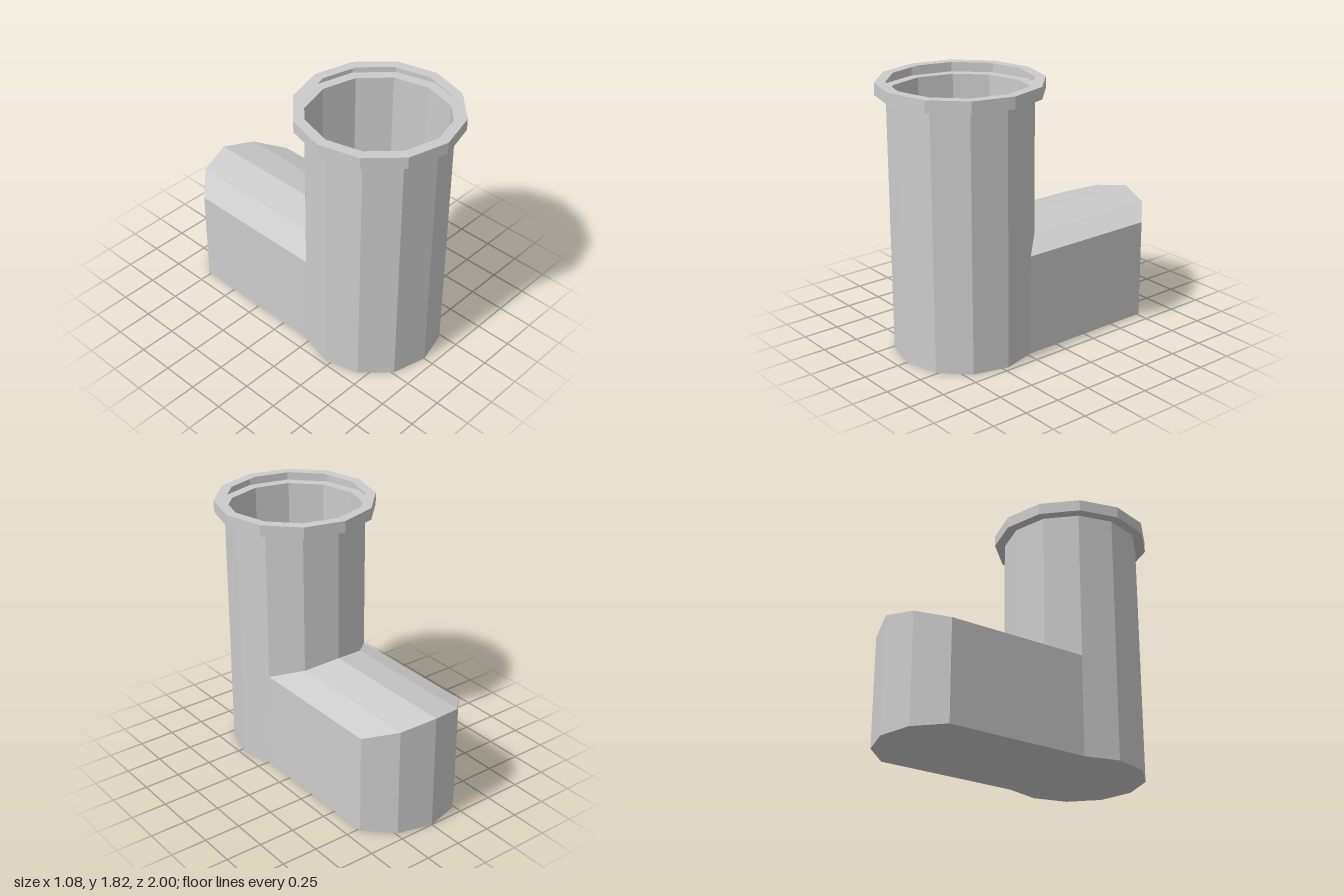
import * as THREE from 'three';

const SIDES = 12;
const TUBE_R = 0.47, RIM_R = 0.54;
const TUBE_Z = 0.46, FOOT_Z = -0.53;
const TUBE_TOP = 1.735, RIM_TOP = 1.815;
const FOOT_RIDGE = [0.69, 0.755, 0.8, 0.755, 0.69]; // height over columns 4..8
const BACK = [4, 5, 6, 7, 8];                       // columns the foot grows from

const material = new THREE.MeshStandardMaterial({
  color: 0xcccccc, flatShading: true, side: THREE.DoubleSide,
});

// Corner i of a twelve-sided ring, counted from the front towards +x
function corner(i, r, y, z) {
  const a = (i / SIDES) * Math.PI * 2;
  return [r * Math.sin(a), y, z + r * Math.cos(a)];
}

function ring(r, y) {
  return Array.from({ length: SIDES + 1 }, (_, i) => corner(i, r, y, TUBE_Z));
}

// Band of quads between a lower and an upper row of points
function strip(name, lower, upper) {
  const pos = [];
  for (let i = 0; i < lower.length - 1; i++) {
    const [a, b, c, d] = [lower[i], lower[i + 1], upper[i + 1], upper[i]];
    pos.push(...a, ...b, ...c, ...a, ...c, ...d);
  }
  const geo = new THREE.BufferGeometry();
  geo.setAttribute('position', new THREE.Float32BufferAttribute(pos, 3));
  geo.computeVertexNormals();
  const mesh = new THREE.Mesh(geo, material);
  mesh.name = name;
  return mesh;
}

export function createModel() {
  const group = new THREE.Group();
  group.name = 'pipeWithFoot';

  // Upright tube, opening into the foot at the back
  const tubeBottom = ring(TUBE_R, 0);
  BACK.forEach((i, k) => { tubeBottom[i][1] = FOOT_RIDGE[k]; });
  // The two side columns reach the ground beside the opening
  const tubeTop = ring(TUBE_R, TUBE_TOP);
  const front = [8, 9, 10, 11, 12, 13, 14, 15, 16];
  group.add(strip('tubeFront',
    front.map((i) => corner(i, TUBE_R, 0, TUBE_Z)),
    front.map((i) => corner(i, TUBE_R, TUBE_TOP, TUBE_Z))));
  group.add(strip('tubeBack', BACK.map((i) => tubeBottom[i]), BACK.map((i) => tubeTop[i])));

  // Hollow rim: underside, outer wall and top, open towards the inside
  const rim = new THREE.Group();
  rim.name = 'rim';
  rim.add(strip('rimUnderside', ring(TUBE_R, TUBE_TOP), ring(RIM_R, TUBE_TOP)));
  rim.add(strip('rimWall', ring(RIM_R, TUBE_TOP), ring(RIM_R, RIM_TOP)));
  rim.add(strip('rimTop', ring(RIM_R, RIM_TOP), ring(TUBE_R, RIM_TOP)));
  group.add(rim);

  // Foot: ridged top, side walls and faceted end
  const near = BACK.map((i, k) => corner(i, TUBE_R, FOOT_RIDGE[k], TUBE_Z));
  const far = BACK.map((i, k) => corner(i, TUBE_R, FOOT_RIDGE[k], FOOT_Z));
  group.add(strip('footTop', far, near));
  const wallTop = [near[0], ...far, near[4]];
  group.add(strip('footWall', wallTop.map(([x, , z]) => [x, 0, z]), wallTop));

  // Flat base under tube and foot
  const outline = [
    ...front.map((i) => corner(i, TUBE_R, 0, TUBE_Z)),
    ...far,
  ].map(([x, , z]) => new THREE.Vector2(x, z));
  const base = new THREE.Mesh(
    new THREE.ShapeGeometry(new THREE.Shape(outline)).rotateX(Math.PI / 2), material);
  base.name = 'base';
  group.add(base);

  return group;
}
